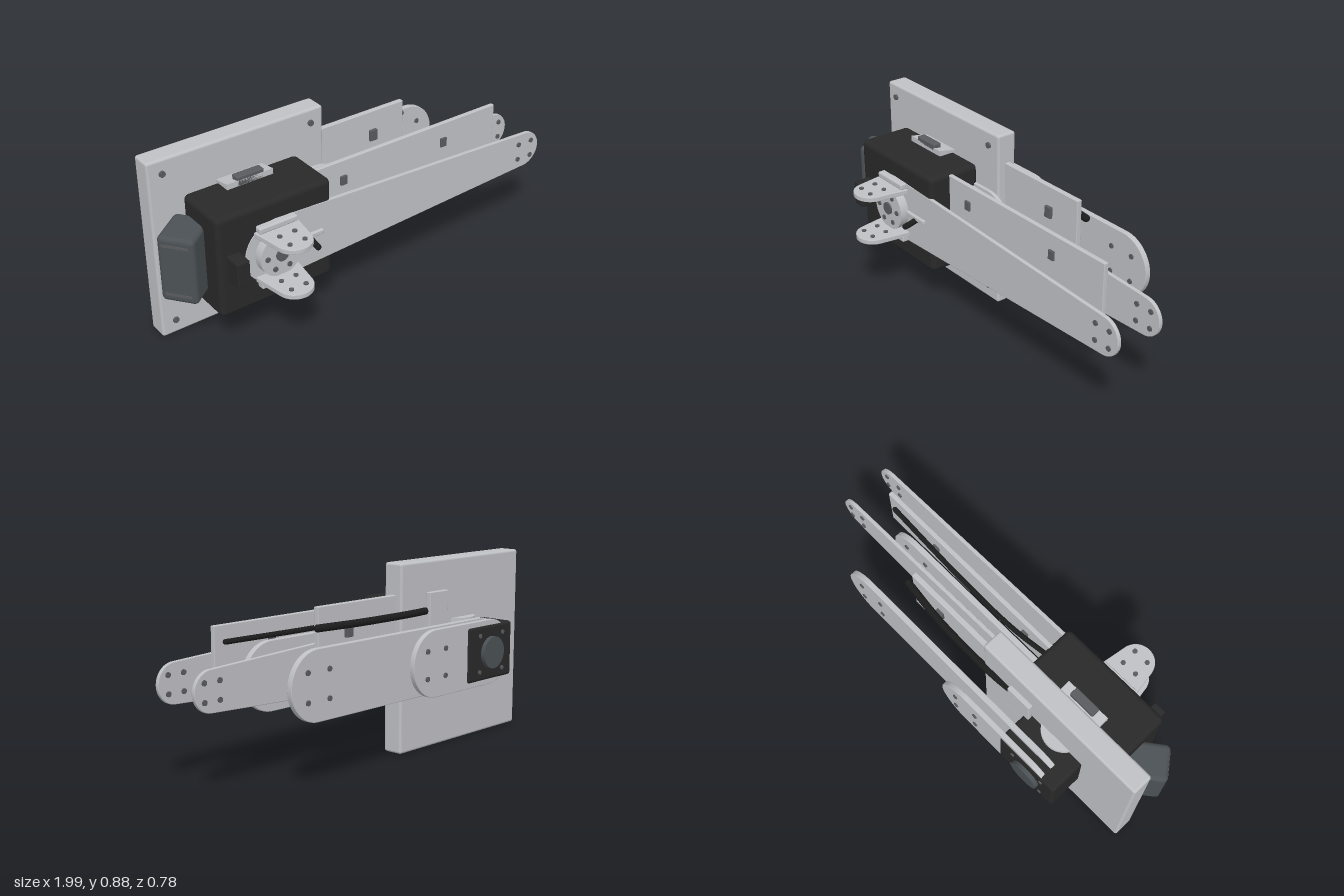
import * as THREE from 'three';
import { RoundedBoxGeometry } from 'three/addons/geometries/RoundedBoxGeometry.js';

const mat = (name, color, side = THREE.FrontSide) => {
  const m = new THREE.MeshStandardMaterial({ color, side });
  m.name = name;
  return m;
};

export function createModel() {
  const root = new THREE.Group();
  root.name = 'roboticArm';
  const alloy = mat('light alloy', 0xc0c1c5);
  const black = mat('black housing', 0x292929);
  const slate = mat('slate motor', 0x4b5155);
  const steel = mat('dark steel', 0x5a5b5e);
  const rubber = mat('cable rubber', 0x1c1c1c);

  const add = (name, geo, material, x = 0, y = 0, z = 0, parent = root) => {
    const m = new THREE.Mesh(geo, material);
    m.name = name;
    m.position.set(x, y, z);
    parent.add(m);
    return m;
  };
  // Rounded box given by its lower and upper limits
  const box = (name, material, [x0, x1], [y0, y1], [z0, z1], r = 0.006) =>
    add(name, new RoundedBoxGeometry(x1 - x0, y1 - y0, z1 - z0, 3, r), material,
      (x0 + x1) / 2, (y0 + y1) / 2, (z0 + z1) / 2);
  // Disc with its axis along z
  const disc = (name, material, r, x, y, z0, z1, parent = root) =>
    add(name, new THREE.CylinderGeometry(r, r, z1 - z0, 32).rotateX(Math.PI / 2), material,
      x, y, (z0 + z1) / 2, parent);
  // Plate with two round ends joined by tangent edges, first end at the origin
  const linkGeometry = (length, r0, r1, depth) => {
    const a = Math.acos((r0 - r1) / length);
    const s = new THREE.Shape();
    s.absarc(0, 0, r0, a, Math.PI * 2 - a, false);
    s.absarc(length, 0, r1, -a, a, false);
    s.closePath();
    const b = 0.003;
    return new THREE.ExtrudeGeometry(s, {
      depth: depth - 2 * b, bevelEnabled: true, bevelThickness: b, bevelSize: b,
      bevelOffset: -b, bevelSegments: 2, curveSegments: 28,
    }).translate(0, 0, -depth / 2 + b);
  };

  const AX = -0.53, AY = 0.44;

  // Base plate with corner bolts
  box('basePlate', alloy, [-0.96, -0.09], [0, 0.875], [-0.2, -0.1], 0.012);
  for (const x of [-0.893, -0.157])
    for (const y of [0.07, 0.81]) disc('plateBolt', steel, 0.014, x, y, -0.11, -0.09);

  // Front housing, connector and tilted side motor
  box('frontHousing', black, [-0.81, -0.24], [0.195, 0.685], [-0.1, 0.17], 0.025);
  box('connector', black, [-0.77, -0.708], [0.38, 0.5], [0.15, 0.25]);
  const motor = add('sideMotor', new RoundedBoxGeometry(0.2, 0.32, 0.165, 4, 0.022), slate,
    -0.87, AY, 0.005);
  motor.rotation.y = 0.66;
  const rib = new THREE.BoxGeometry(0.205, 0.012, 0.12);
  for (const y of [-0.12, 0.12]) add('motorRib', rib, steel, 0, y, 0, motor);

  // Clamps above and below the front housing
  for (const s of [1, -1]) {
    const span = (a, b) => [AY + s * a, AY + s * b].sort((p, q) => p - q);
    const clamp = new THREE.Shape([
      [-0.1, 0.22], [-0.1, 0.255], [-0.01, 0.272], [-0.01, 0.24],
    ].map(([z, y]) => new THREE.Vector2(-z, s * y)));
    add('clamp', new THREE.ExtrudeGeometry(clamp, { depth: 0.23, bevelEnabled: false })
      .rotateY(Math.PI / 2), alloy, AX - 0.115, AY, 0);
    box('clampBlock', steel, [-0.595, -0.46], span(0.24, 0.288), [-0.052, -0.01]);
  }

  // Arm links: [name, z, thickness, far end x, near radius, far radius, bolt spacing]
  const links = [
    ['upperArmLink', 0.163, 0.018, 0.905, 0.155, 0.09, 0.04],
    ['upperArmLink', -0.066, 0.018, 0.905, 0.155, 0.09, 0.04],
    ['forearmLink', -0.017, 0.027, 0.54, 0.153, 0.153, 0.062],
    ['forearmLink', -0.295, 0.027, 0.54, 0.153, 0.153, 0.062],
    ['shoulderLink', -0.085, 0.018, -0.14, 0.153, 0.153, 0.062],
    ['shoulderLink', -0.353, 0.025, -0.14, 0.153, 0.153, 0.062],
  ];
  for (const [name, z, t, end, r0, r1, gap] of links) {
    const link = add(name, linkGeometry(end - AX, r0, r1, t), alloy, AX, AY, z);
    for (const i of [-1, 1])
      for (const j of [-1, 1])
        disc('linkBolt', steel, 0.012, end - AX + i * gap, j * gap, -t / 2 - 0.006,
          t / 2 + 0.006, link);
  }

  // Wrist horn with its ring of bolts
  disc('wristHorn', alloy, 0.105, AX, AY, 0.16, 0.215);
  disc('hornHub', steel, 0.03, AX, AY, 0.2, 0.224);
  for (let i = 0; i < 6; i++) {
    const a = i * Math.PI / 3;
    disc('hornBolt', steel, 0.012, AX + 0.072 * Math.cos(a), AY + 0.072 * Math.sin(a), 0.2, 0.221);
  }

  // Gripper fingers in front and short pivot ears behind the base plate
  for (const s of [1, -1]) {
    const finger = add('gripperFinger', linkGeometry(0.14, 0.105, 0.083, 0.024)
      .rotateZ(-Math.PI / 2).rotateX(-Math.PI / 2), alloy, AX, AY + s * 0.112, 0.165);
    for (const x of [-0.037, 0.037])
      for (const z of [0.095, 0.17])
        add('fingerBolt', new THREE.CylinderGeometry(0.011, 0.011, 0.036, 16), steel, x, 0, z, finger);
    const y = AY + s * 0.138;
    box('fingerFlange', alloy, [-0.625, -0.435], [y - 0.015, y + 0.015], [0.165, 0.203], 0.008);
    add('rearEar', new THREE.CylinderGeometry(0.1, 0.1, 0.025, 32), alloy, AX, y, -0.148);
  }

  // Rear motor housing
  box('rearHousing', black, [-0.69, -0.36], [0.31, 0.57], [-0.372, -0.19], 0.015);
  box('rearHousingSide', slate, [-0.37, -0.352], [0.38, 0.5], [-0.28, -0.21]);
  disc('rearMotorCap', slate, 0.075, AX, AY, -0.392, -0.36);
  for (const x of [-0.085, 0.085])
    for (const y of [-0.085, 0.085])
      disc('rearBolt', steel, 0.01, AX + x, AY + y, -0.377, -0.36);

  // Upright cable panels and their clips
  box('frontPanel', alloy, [-0.3, 0.79], [0.427, 0.675], [0.043, 0.065], 0.004);
  box('middlePanel', alloy, [-0.2, 0.4], [0.427, 0.732], [-0.167, -0.141], 0.004);
  box('rearTab', alloy, [-0.39, -0.26], [0.427, 0.732], [-0.226, -0.202], 0.004);
  for (const x of [-0.1, 0.475]) box('panelClip', steel, [x - 0.017, x + 0.017], [0.555, 0.6], [0.03, 0.075], 0.003);
  box('panelClip', steel, [0.2, 0.24], [0.583, 0.638], [-0.182, -0.127], 0.003);

  // Cables with rounded ends
  const cable = (name, r, pts) => {
    const v = pts.map((p) => new THREE.Vector3(...p));
    add(name, new THREE.TubeGeometry(new THREE.CatmullRomCurve3(v), 48, r, 12), rubber);
    for (const p of [v[0], v[v.length - 1]])
      add(name + 'End', new THREE.SphereGeometry(r, 12, 8), rubber, p.x, p.y, p.z);
  };
  cable('frontCable', 0.012, [[-0.26, 0.605, 0.035], [-0.05, 0.605, 0.012], [0.3, 0.605, 0.012], [0.74, 0.605, 0.03]]);
  cable('rearCable', 0.017, [[-0.3, 0.645, -0.195], [-0.15, 0.645, -0.208], [0.18, 0.645, -0.205], [0.415, 0.645, -0.18]]);
  cable('wristCable', 0.014, [[-0.36, 0.435, 0.165], [-0.36, 0.425, 0.2], [-0.36, 0.418, 0.237]]);
  box('wristTab', alloy, [-0.43, -0.29], [0.432, 0.456], [0.165, 0.185], 0.006);

  return root;
}
